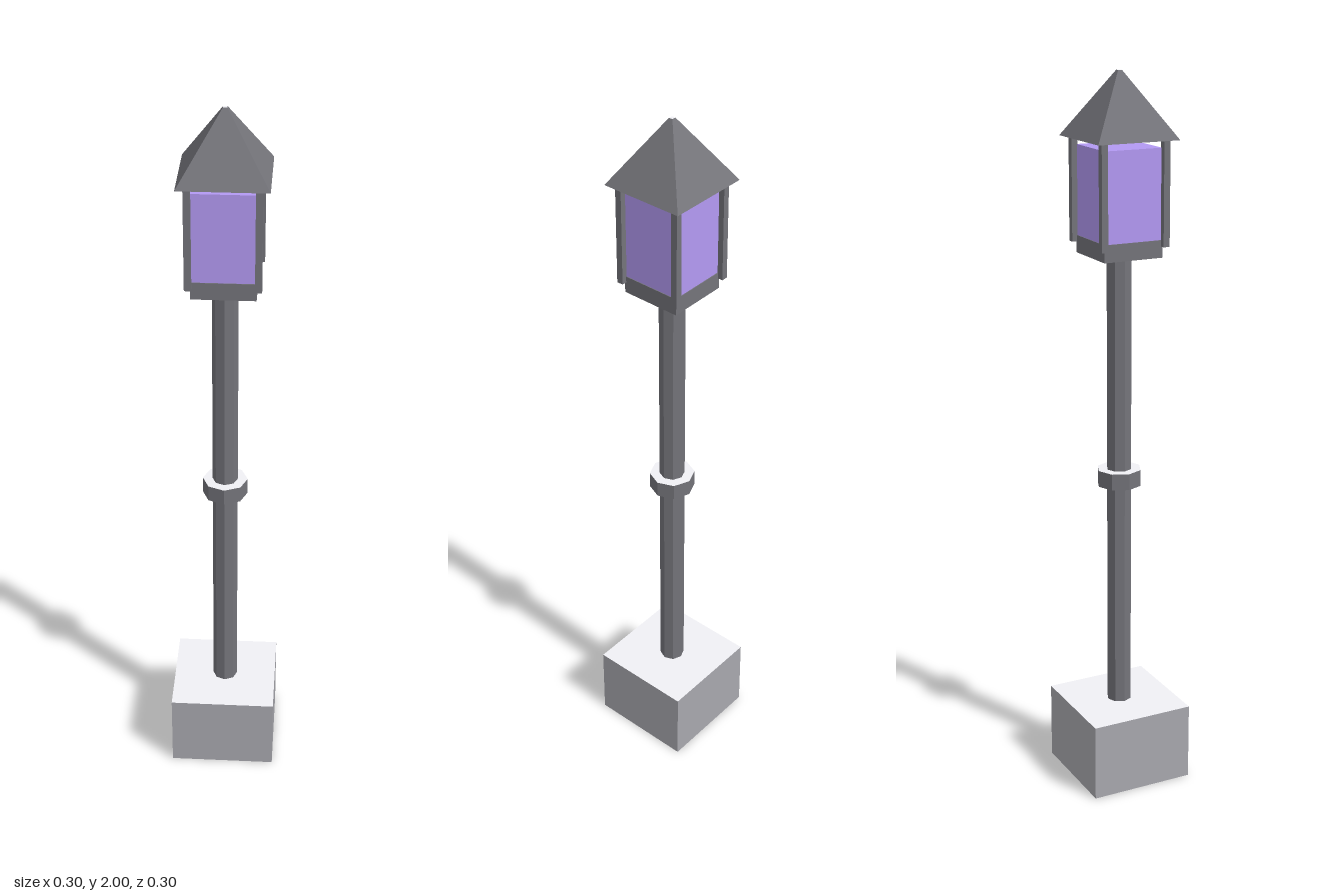
import * as THREE from 'three';

const paint = (color) => new THREE.MeshStandardMaterial({ color, flatShading: true });
const stone = paint(0xa8a8ae);
const iron = paint(0x74747a);
const pale = paint(0xf1f1f5);
const violet = paint(0xb399f3);

// Adds a named mesh whose geometry spans y0 to y0 + height
function add(group, name, geometry, y0, height, material, x = 0, z = 0) {
  const mesh = new THREE.Mesh(geometry, material);
  mesh.name = name;
  mesh.position.set(x, y0 + height / 2, z);
  group.add(mesh);
}

export function createModel() {
  const model = new THREE.Group();
  model.name = 'lampPost';

  // Square plinth with a pale top face
  const plinthSides = [stone, stone, pale, stone, stone, stone];
  add(model, 'plinth', new THREE.BoxGeometry(0.298, 0.22, 0.298), 0, 0.22, plinthSides);

  // Octagonal pole, and a collar with a pale top
  const ironPaleTop = [iron, pale, iron];
  add(model, 'pole', new THREE.CylinderGeometry(0.035, 0.035, 1.31, 8), 0.215, 1.31, iron);
  add(model, 'collar', new THREE.CylinderGeometry(0.0625, 0.0625, 0.046, 8), 0.874, 0.046, ironPaleTop);

  // Lantern: tray, glass and square corner posts, with a gap below the roof
  const lantern = new THREE.Group();
  lantern.name = 'lantern';
  model.add(lantern);
  add(lantern, 'tray', new THREE.BoxGeometry(0.17, 0.047, 0.17), 1.518, 0.047, iron);
  add(lantern, 'glass', new THREE.BoxGeometry(0.166, 0.241, 0.166), 1.565, 0.241, violet);
  const post = new THREE.BoxGeometry(0.018, 0.279, 0.018);
  for (const x of [-0.09, 0.09]) {
    for (const z of [-0.09, 0.09]) add(lantern, 'cornerPost', post, 1.548, 0.279, iron, x, z);
  }

  // Four-sided roof with a tiny pale flat tip
  const roof = new THREE.CylinderGeometry(0.0055 * Math.SQRT2, 0.1175 * Math.SQRT2, 0.173, 4);
  roof.rotateY(Math.PI / 4);
  add(lantern, 'roof', roof, 1.827, 0.173, ironPaleTop);

  return model;
}
